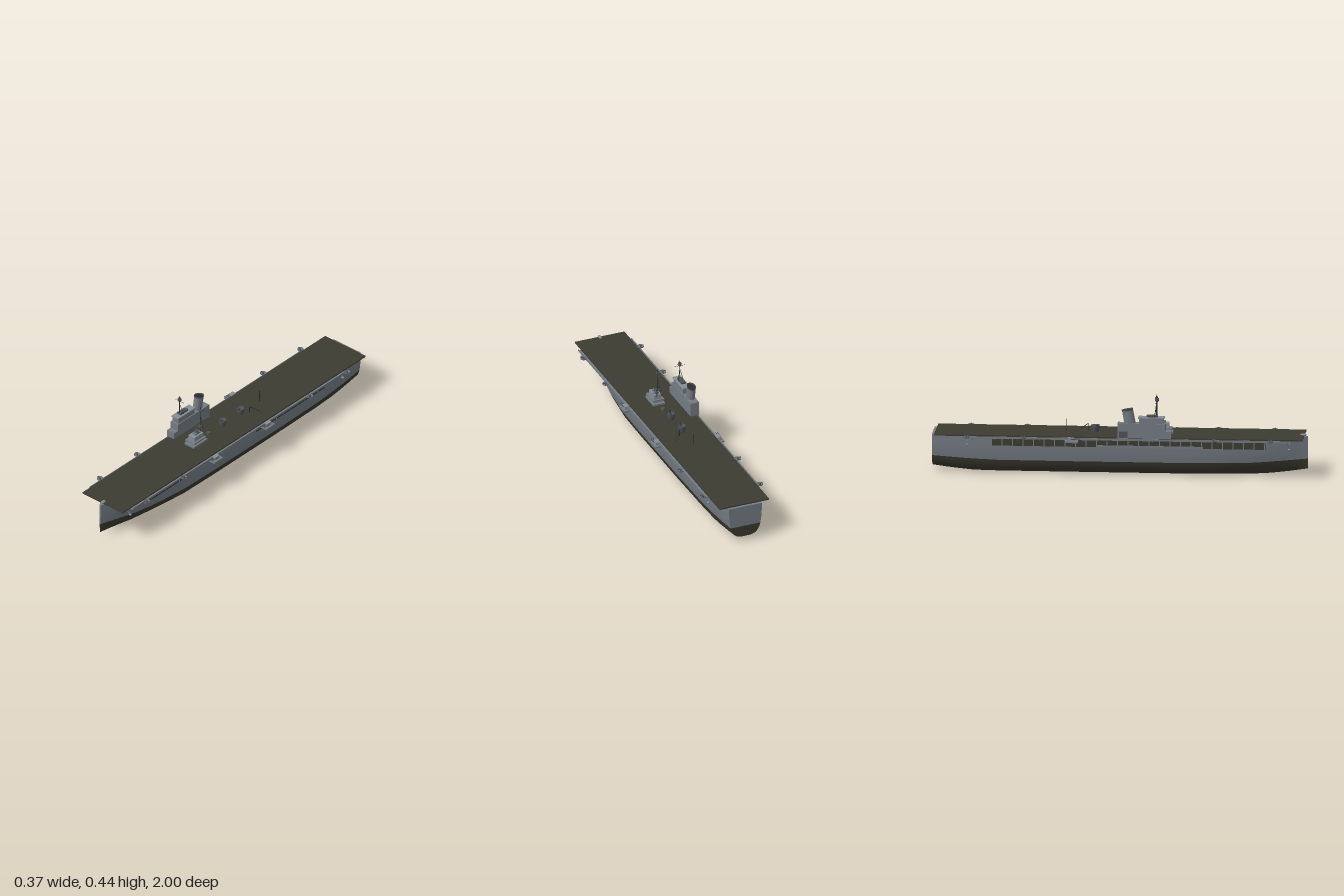
import * as THREE from 'three';

const mat = (name, color, side = THREE.FrontSide) => {
  const m = new THREE.MeshStandardMaterial({ color, side });
  m.name = name;
  return m;
};

// Piecewise-linear lookup through [key, value] pairs with rising keys
function lookup(table, k) {
  if (k <= table[0][0]) return table[0][1];
  for (let i = 1; i < table.length; i++) {
    const [a, va] = table[i - 1], [b, vb] = table[i];
    if (k <= b) return va + (vb - va) * (k - a) / (b - a);
  }
  return table[table.length - 1][1];
}

const HULL_TOP = 0.205;
const beam = [[-1, 0.095], [-0.85, 0.106], [-0.65, 0.115], [-0.3, 0.1205], [0.2, 0.1215], [0.42, 0.118],
  [0.6, 0.104], [0.78, 0.076], [0.9, 0.042], [0.97, 0.016], [1, 0.005]];
const keel = [[-1, 0.026], [-0.9, 0.013], [-0.78, 0.002], [-0.7, 0], [0.7, 0], [0.8, 0.005], [0.9, 0.017], [1, 0.032]];
const water = [[-1, 0.088], [-0.7, 0.072], [0.7, 0.072], [1, 0.086]];
const section = [[0, 0.2], [0.012, 0.42], [0.05, 0.58], [0.12, 0.73], [0.2, 0.82], [0.33, 0.9], [0.5, 0.955], [0.75, 0.99], [1, 1]];
const stations = [-1, -0.92, -0.85, -0.78, -0.65, -0.5, -0.3, -0.1, 0.2, 0.32, 0.42, 0.52, 0.6, 0.7, 0.78, 0.84, 0.9, 0.94, 0.97, 1];

function hullX(z, y) {
  const k = lookup(keel, z);
  const f = lookup(section, (y - k) / (HULL_TOP - k));
  return lookup(beam, z) * Math.pow(f, 1 + Math.max(0, (z - 0.45) / 0.55) * 1.6);
}

// Loft one band of the hull between two height rules, both sides plus the end caps
function hullBand(lowY, highY, steps, closeBottom) {
  const pos = [], idx = [];
  const rows = stations.map((z) => {
    const half = [];
    for (let i = 0; i <= steps; i++) {
      const y = lowY(z) + (highY(z) - lowY(z)) * Math.pow(i / steps, closeBottom ? 1.7 : 1);
      half.push([hullX(z, y), y, z]);
    }
    return [...half.slice().reverse().map(([x, y, w]) => [-x, y, w]), ...half];
  });
  const n = rows[0].length;
  rows.forEach((r) => r.forEach((p) => pos.push(...p)));
  for (let s = 0; s < rows.length - 1; s++) for (let i = 0; i < n - 1; i++) {
    if (i === steps && !closeBottom) continue;
    const a = s * n + i, b = a + 1, c = a + n, d = c + 1;
    idx.push(a, b, c, b, d, c);
  }
  // transom and stem
  for (const [s, flip] of [[0, false], [rows.length - 1, true]]) {
    const base = pos.length / 3;
    rows[s].forEach((p) => pos.push(...p));
    for (let i = 0; i < steps; i++) {
      const a = base + i, b = a + 1, c = base + n - 1 - i, d = c - 1;
      if (flip) idx.push(a, b, c, b, d, c); else idx.push(a, c, b, b, c, d);
    }
  }
  const g = new THREE.BufferGeometry();
  g.setAttribute('position', new THREE.Float32BufferAttribute(pos, 3));
  g.setIndex(idx);
  g.computeVertexNormals();
  return g;
}

export function createModel() {
  const ship = new THREE.Group();
  ship.name = 'carrierShip';
  const grey = mat('hullGrey', 0x737b82, THREE.DoubleSide);
  const light = mat('lightGrey', 0x858d93);
  const olive = mat('deckOlive', 0x3d3c32);
  const bottom = mat('bottomOlive', 0x39382e, THREE.DoubleSide);
  const steel = mat('darkSteel', 0x4d5256, THREE.DoubleSide);
  const black = mat('mastBlack', 0x2b2c2d);

  const add = (name, geo, m, x = 0, y = 0, z = 0, parent = ship) => {
    const mesh = new THREE.Mesh(geo, m);
    mesh.name = name;
    mesh.position.set(x, y, z);
    parent.add(mesh);
    return mesh;
  };
  // Box given by its lowest and highest corners
  const box = (name, m, x0, x1, y0, y1, z0, z1, parent = ship) =>
    add(name, new THREE.BoxGeometry(x1 - x0, y1 - y0, z1 - z0), m, (x0 + x1) / 2, (y0 + y1) / 2, (z0 + z1) / 2, parent);
  const rod = (name, m, a, b, r, parent = ship) => {
    const va = new THREE.Vector3(...a), d = new THREE.Vector3(...b).sub(va);
    const mesh = add(name, new THREE.CylinderGeometry(r, r, d.length(), 6), m, 0, 0, 0, parent);
    mesh.position.copy(va).addScaledVector(d, 0.5);
    mesh.quaternion.setFromUnitVectors(new THREE.Vector3(0, 1, 0), d.normalize());
    return mesh;
  };

  // Hull
  const wl = (z) => lookup(water, z);
  add('hullBottom', hullBand((z) => lookup(keel, z), wl, 9, true), bottom);
  add('hullTopsides', hullBand(wl, () => HULL_TOP, 5, false), grey);
  const plan = new THREE.Shape();
  stations.forEach((z, i) => plan[i ? 'lineTo' : 'moveTo'](lookup(beam, z), z));
  stations.slice().reverse().forEach((z) => plan.lineTo(-lookup(beam, z), z));
  add('hullTop', new THREE.ShapeGeometry(plan).rotateX(Math.PI / 2), grey, 0, HULL_TOP - 0.0005);

  // Hangar with open bays and pillars
  box('hangarBays', olive, -0.1212, 0.1212, 0.153, 0.194, -0.68, 0.78);
  box('deckSupport', grey, -0.123, 0.123, 0.194, 0.206, -0.72, 0.8);
  for (const s of [-1, 1]) {
    for (let i = 0; i <= 26; i++) {
      box('bayPillar', grey, s * 0.1215 - 0.0012, s * 0.1215 + 0.0012, 0.153, 0.195, -0.681 + i * 0.056, -0.677 + i * 0.056);
    }
    box('baySill', grey, s * 0.1215 - 0.0015, s * 0.1215 + 0.0015, 0.152, 0.164, -0.12, 0.45);
  }

  // Flight deck
  box('flightDeck', olive, -0.143, 0.143, 0.206, 0.213, -0.985, 0.98);

  // Catwalks, gun tubs and deck-edge gear, mirrored
  const tub = new THREE.LatheGeometry([[0, 0], [0.011, 0], [0.017, 0.004], [0.017, 0.011]].map((p) => new THREE.Vector2(...p)), 12);
  for (const s of [-1, 1]) {
    const side = new THREE.Group();
    side.name = s > 0 ? 'leftEdge' : 'rightEdge';
    ship.add(side);
    const sbox = (name, m, x0, x1, ...r) => box(name, m, Math.min(s * x0, s * x1), Math.max(s * x0, s * x1), ...r, side);
    sbox('catwalk', grey, 0.12, 0.154, 0.196, 0.2, -0.82, 0.91);
    sbox('catwalkRail', grey, 0.1525, 0.155, 0.2, 0.208, -0.82, 0.91);
    for (let z = -0.78; z < 0.9; z += 0.12) rod('catwalkBracket', grey, [s * 0.117, 0.178, z], [s * 0.15, 0.197, z], 0.0015, side);
    for (const z of [-0.81, -0.51, 0.51, 0.81]) {
      add('gunTub', tub, grey, s * 0.165, 0.199, z, side);
      add('gunMount', new THREE.CylinderGeometry(0.004, 0.005, 0.012, 8), steel, s * 0.165, 0.206, z, side);
      rod('gunBarrel', black, [s * 0.165, 0.21, z], [s * 0.182, 0.213, z], 0.0012, side);
    }
    for (const z of s > 0 ? [-0.17, 0.25] : [-0.25]) {
      sbox('sponson', grey, 0.12, 0.184, 0.185, 0.193, z - 0.035, z + 0.035);
      sbox('sponsonHouse', light, 0.148, 0.172, 0.193, 0.21, z - 0.02, z + 0.015);
      for (const dx of [0.165, 0.175]) rod('sponsonGun', steel, [s * dx, 0.203, z], [s * dx, 0.206, z + 0.045], 0.002, side);
    }
    for (const z of [0.91, -0.81]) {
      rod('boomStrut', grey, [s * 0.09, 0.194, z], [s * 0.13, 0.162, z], 0.0022, side);
      const pod = add('boomPod', new THREE.SphereGeometry(0.008, 10, 8), light, s * 0.134, 0.159, z, side);
      pod.scale.y = 0.65;
      rod('boomHanger', grey, [s * 0.13, 0.162, z], [s * 0.13, 0.2, z], 0.001, side);
    }
  }

  // Stem-head fitting
  add('bowFitting', new THREE.SphereGeometry(0.013, 12, 8), light, 0, 0.213, 0.975).scale.set(0.75, 0.6, 1.4);

  // Island on the right-hand side
  const island = new THREE.Group();
  island.name = 'island';
  ship.add(island);
  box('islandBase', grey, -0.156, -0.106, 0.21, 0.25, 0.24, 0.28, island);
  box('islandHouse', grey, -0.156, -0.106, 0.21, 0.29, -0.005, 0.25, island);
  box('bridge', grey, -0.152, -0.111, 0.29, 0.318, 0.11, 0.24, island);
  box('bridgeRoof', light, -0.155, -0.108, 0.318, 0.325, 0.105, 0.245, island);
  box('bridgeTop', steel, -0.145, -0.12, 0.325, 0.335, 0.15, 0.21, island);
  box('islandDoor', steel, -0.158, -0.155, 0.212, 0.248, 0.005, 0.05, island);

  // Funnel, raked aft
  const funnel = new THREE.Group();
  funnel.name = 'funnel';
  funnel.position.set(-0.133, 0.28, 0.062);
  funnel.rotation.x = -0.18;
  island.add(funnel);
  add('funnelCasing', new THREE.CylinderGeometry(0.022, 0.0225, 0.08, 20, 1, true).scale(1, 1, 1.35), grey, 0, 0.04, 0, funnel);
  add('funnelCap', new THREE.CylinderGeometry(0.0235, 0.0225, 0.008, 20, 1, true).scale(1, 1, 1.35), steel, 0, 0.083, 0, funnel);
  add('funnelMouth', new THREE.CylinderGeometry(0.0215, 0.0215, 0.002, 20).scale(1, 1, 1.35), black, 0, 0.079, 0, funnel);

  // Tripod mast: pole, two spread legs and yards of [height, half width]
  const mast = (name, x, z, y0, yJoin, y1, spread, yards) => {
    const g = new THREE.Group();
    g.name = name;
    ship.add(g);
    rod('pole', black, [x, y0, z], [x, y1, z], 0.0018, g);
    for (const s of [-1, 1]) rod('mastLeg', black, [x + s * spread, y0, z - spread], [x, yJoin, z], 0.0013, g);
    for (const [y, w] of yards) rod('yard', steel, [x - w, y, z], [x + w, y, z], 0.0009, g);
    return g;
  };
  const islandMast = mast('islandMast', -0.133, 0.205, 0.325, 0.39, 0.438, 0.015, [[0.408, 0.03]]);
  add('radarDish', new THREE.SphereGeometry(0.011, 14, 8, 0, Math.PI * 2, Math.PI / 2, Math.PI / 2), steel, -0.133, 0.417, 0.205, islandMast);
  add('radarHead', new THREE.CylinderGeometry(0.009, 0.011, 0.01, 14), steel, -0.133, 0.422, 0.205, islandMast);

  // Centreline bridge tower with stepped tiers: [half width, y0, y1, z0, z1]
  const tiers = [[0.034, 0.212, 0.223, 0.17, 0.28], [0.024, 0.223, 0.234, 0.185, 0.265], [0.033, 0.234, 0.242, 0.18, 0.275],
    [0.022, 0.242, 0.268, 0.19, 0.26], [0.012, 0.268, 0.278, 0.2, 0.24]];
  tiers.forEach(([w, y0, y1, z0, z1], i) => box('towerTier', i % 2 ? light : grey, -w, w, y0, y1, z0, z1));
  add('director', new THREE.CylinderGeometry(0.009, 0.012, 0.01, 12), steel, 0, 0.283, 0.22);
  const mainMast = mast('mainMast', 0, 0.19, 0.265, 0.365, 0.42, 0.014, [[0.284, 0.03], [0.377, 0.045]]);
  box('mastTop', steel, -0.01, 0.01, 0.396, 0.403, 0.183, 0.197, mainMast);
  box('mastPlatform', steel, -0.01, 0.01, 0.296, 0.302, 0.18, 0.2, mainMast);
  add('deckPost', new THREE.CylinderGeometry(0.012, 0.014, 0.012, 10), steel, 0, 0.219, 0.12);

  // Open gun positions on the centreline
  const cup = new THREE.LatheGeometry([[0, 0.026], [0.017, 0.026], [0.02, 0.036], [0.023, 0.036], [0.02, 0.012], [0.016, 0]]
    .map((p) => new THREE.Vector2(...p)), 16);
  for (const z of [0.01, -0.135]) {
    add('deckTub', cup, steel, 0, 0.213, z);
    rod('tubGun', black, [0, 0.243, z], [0, 0.252, z + 0.022], 0.002);
  }

  // Aft poles and derrick
  rod('aftPole', black, [0, 0.213, -0.29], [0, 0.28, -0.29], 0.0018);
  rod('aftCrosstree', black, [-0.008, 0.255, -0.29], [0.008, 0.255, -0.29], 0.0012);
  rod('derrickPost', black, [0.03, 0.213, -0.175], [0.03, 0.25, -0.175], 0.0018);
  rod('derrickBoom', black, [0.03, 0.25, -0.175], [0.068, 0.214, -0.22], 0.0018);
  return ship;
}
